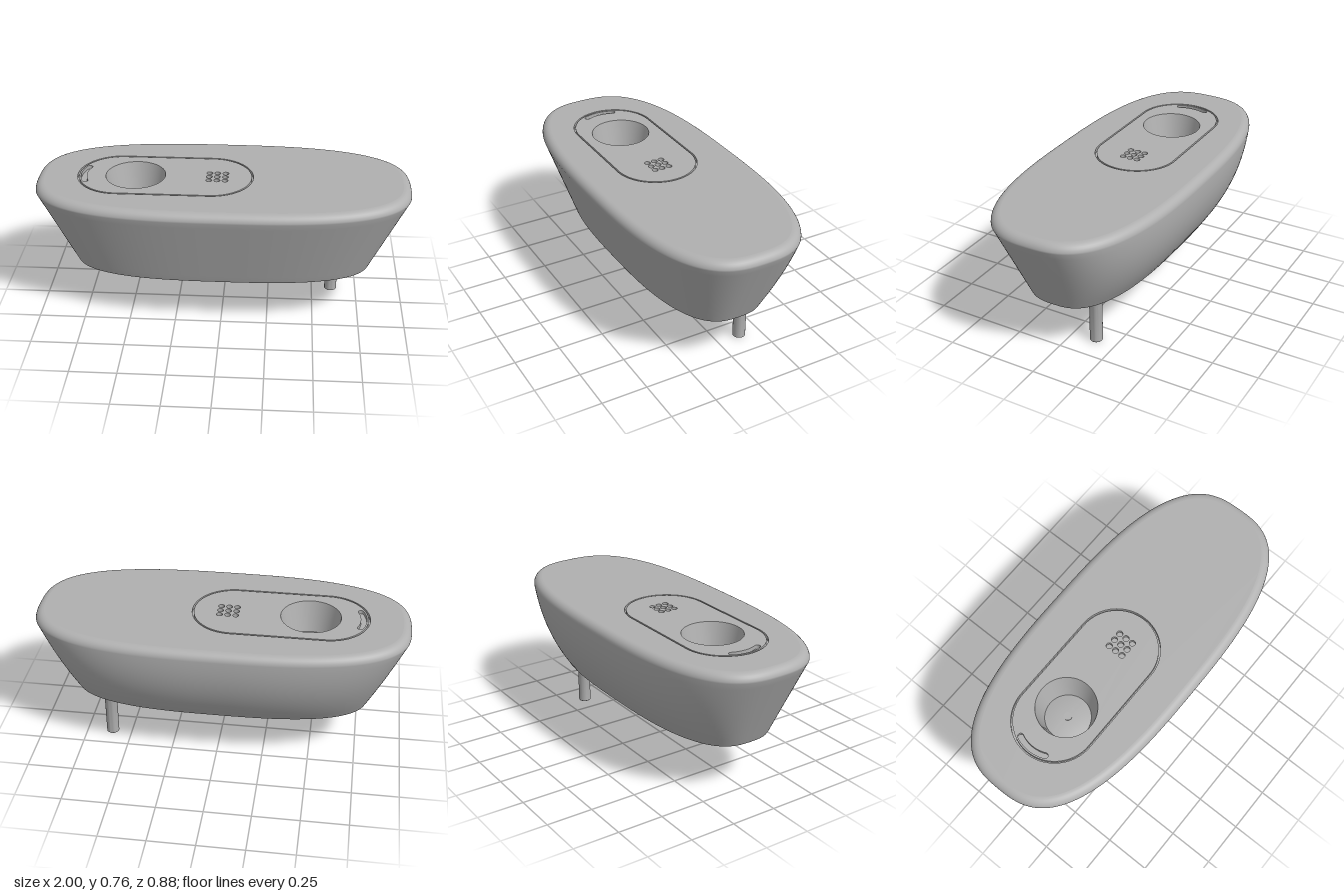
import * as THREE from 'three';
import { toCreasedNormals, mergeVertices } from 'three/addons/utils/BufferGeometryUtils.js';

const TOP = 0.76, BASE = 0.283, CUT = 0.02, SEGS = 128;
const LENS_X = -0.47;

// Squared oval, as [x, z] points
function ovalPoint(j, a, b) {
  const u = (j / SEGS) * Math.PI * 2, p = 2 / 2.8;
  const c = Math.cos(u), s = Math.sin(u);
  return [a * Math.sign(c) * Math.abs(c) ** p, b * Math.sign(s) * Math.abs(s) ** p];
}

function ovalShape(a, b) {
  const pts = [];
  for (let j = 0; j < SEGS; j++) pts.push(new THREE.Vector2(...ovalPoint(j, a, b)));
  return new THREE.Shape(pts);
}

function stadium(r, Type = THREE.Shape) {
  const s = new Type();
  s.absarc(-0.065, 0, r, -Math.PI / 2, Math.PI / 2, false);
  s.absarc(-0.555, 0, r, Math.PI / 2, Math.PI * 1.5, false);
  s.closePath();
  return s;
}

function circleHole(x, y, r) {
  const p = new THREE.Path();
  p.absarc(x, y, r, 0, Math.PI * 2, true);
  return p;
}

// Flaring shell: straight front and ends, bulging back, rounded rims
function shellGeometry() {
  const rows = [[BASE, 0.012], [0.286, 0.004], [0.294, 0]];
  for (let i = 1; i <= 12; i++) rows.push([0.294 + (0.715 - 0.294) * i / 12, 0]);
  for (let i = 1; i <= 8; i++) {
    const f = (i / 8) * Math.PI / 2;
    rows.push([0.715 + 0.045 * Math.sin(f), 0.045 * (1 - Math.cos(f))]);
  }
  const pos = [], index = [];
  rows.forEach(([y, inset], i) => {
    const t = THREE.MathUtils.clamp((y - 0.294) / (0.715 - 0.294), 0, 1);
    const a = 0.805 + 0.195 * t - inset;
    const front = 0.302 + 0.14 * t - inset;
    const back = 0.302 + 0.14 * (1 - (1 - t) ** 2.2) - inset;
    for (let j = 0; j < SEGS; j++) {
      const [x, z] = ovalPoint(j, a, 1);
      pos.push(x, y, z * (z > 0 ? front : back));
      if (i === rows.length - 1) continue;
      const k = (j + 1) % SEGS, p = i * SEGS, q = p + SEGS;
      index.push(p + j, q + j, p + k, q + j, q + k, p + k);
    }
  });
  const g = new THREE.BufferGeometry();
  g.setAttribute('position', new THREE.Float32BufferAttribute(pos, 3));
  g.setIndex(index);
  g.computeVertexNormals();
  return g;
}

export function createModel() {
  const group = new THREE.Group();
  const grey = new THREE.MeshStandardMaterial({ color: 0xb0b0b0, side: THREE.DoubleSide });
  grey.name = 'grey plastic';
  const add = (name, geo, x = 0, y = 0, z = 0) => {
    const m = new THREE.Mesh(geo, grey);
    m.name = name;
    m.position.set(x, y, z);
    group.add(m);
    return m;
  };
  const slab = (shape, depth) => new THREE.ExtrudeGeometry(shape,
    { depth, bevelEnabled: false, curveSegments: 32 }).rotateX(-Math.PI / 2);

  add('bodyShell', shellGeometry());
  add('bodyBase', new THREE.ShapeGeometry(ovalShape(0.793, 0.29)).rotateX(Math.PI / 2), 0, BASE);

  // Top face, cut out around the control plate
  const face = ovalShape(0.955, 0.397);
  face.holes.push(stadium(0.226, THREE.Path));
  add('topFace', slab(face, CUT), 0, TOP - CUT);

  // Control plate with lens opening, light slot and microphone holes
  const plate = stadium(0.217);
  plate.holes.push(circleHole(LENS_X, 0, 0.16));
  const slot = new THREE.Path();
  const cx = -0.555, mid = Math.PI, half = 0.43;
  slot.absarc(cx, 0, 0.208, mid - half, mid + half, false);
  slot.absarc(cx + 0.193 * Math.cos(mid + half), 0.193 * Math.sin(mid + half), 0.015,
    mid + half, mid * 2 + half, false);
  slot.absarc(cx, 0, 0.178, mid + half, mid - half, true);
  slot.absarc(cx + 0.193 * Math.cos(mid - half), 0.193 * Math.sin(mid - half), 0.015,
    -half, mid - half, false);
  plate.holes.push(slot);
  for (const x of [-0.075, -0.032, 0.011])
    for (const z of [-0.042, 0, 0.042]) plate.holes.push(circleHole(x, z, 0.016));
  add('controlPlate', slab(plate, CUT), 0, TOP - CUT);

  // Floor beneath the groove, slot and microphone holes
  const floor = stadium(0.23);
  floor.holes.push(circleHole(LENS_X, 0, 0.158));
  add('grooveFloor', new THREE.ShapeGeometry(floor, 32).rotateX(-Math.PI / 2), 0, TOP - CUT);

  // Tapered lens well
  const well = [[0.16, 0], [0.122, -0.17], [0.09, -0.163], [0.05, -0.158], [0, -0.157]];
  const wellGeo = new THREE.LatheGeometry(well.map(p => new THREE.Vector2(...p)), 64);
  add('lensWell', toCreasedNormals(wellGeo, 0.6), LENS_X, TOP, 0);
  add('lensPupil', new THREE.CylinderGeometry(0.022, 0.022, 0.006, 32), LENS_X, TOP - 0.156, 0);

  // Pivot lug: round eye with sides flaring up to the base
  const lug = new THREE.Shape();
  lug.moveTo(0.1, 0.29);
  lug.lineTo(0.086, 0.202);
  lug.absarc(0, 0.215, 0.087, -0.15, Math.PI + 0.15, true);
  lug.lineTo(-0.1, 0.29);
  lug.closePath();
  lug.holes.push(circleHole(0, 0.215, 0.057));
  const lugGeo = new THREE.ExtrudeGeometry(lug, { depth: 0.195, bevelEnabled: false, curveSegments: 32 });
  add('pivotLug', toCreasedNormals(lugGeo.rotateY(Math.PI / 2), 0.6), -0.285, 0, 0);

  // Cable post with a small flared root
  const post = [[0, 0], [0.031, 0], [0.034, 0.003], [0.034, 0.272], [0.036, 0.279], [0.042, 0.285]];
  const postGeo = new THREE.LatheGeometry(post.map(p => new THREE.Vector2(...p)), 32);
  add('cablePost', toCreasedNormals(postGeo, 0.6), 0.608, 0, -0.134);

  return group;
}
